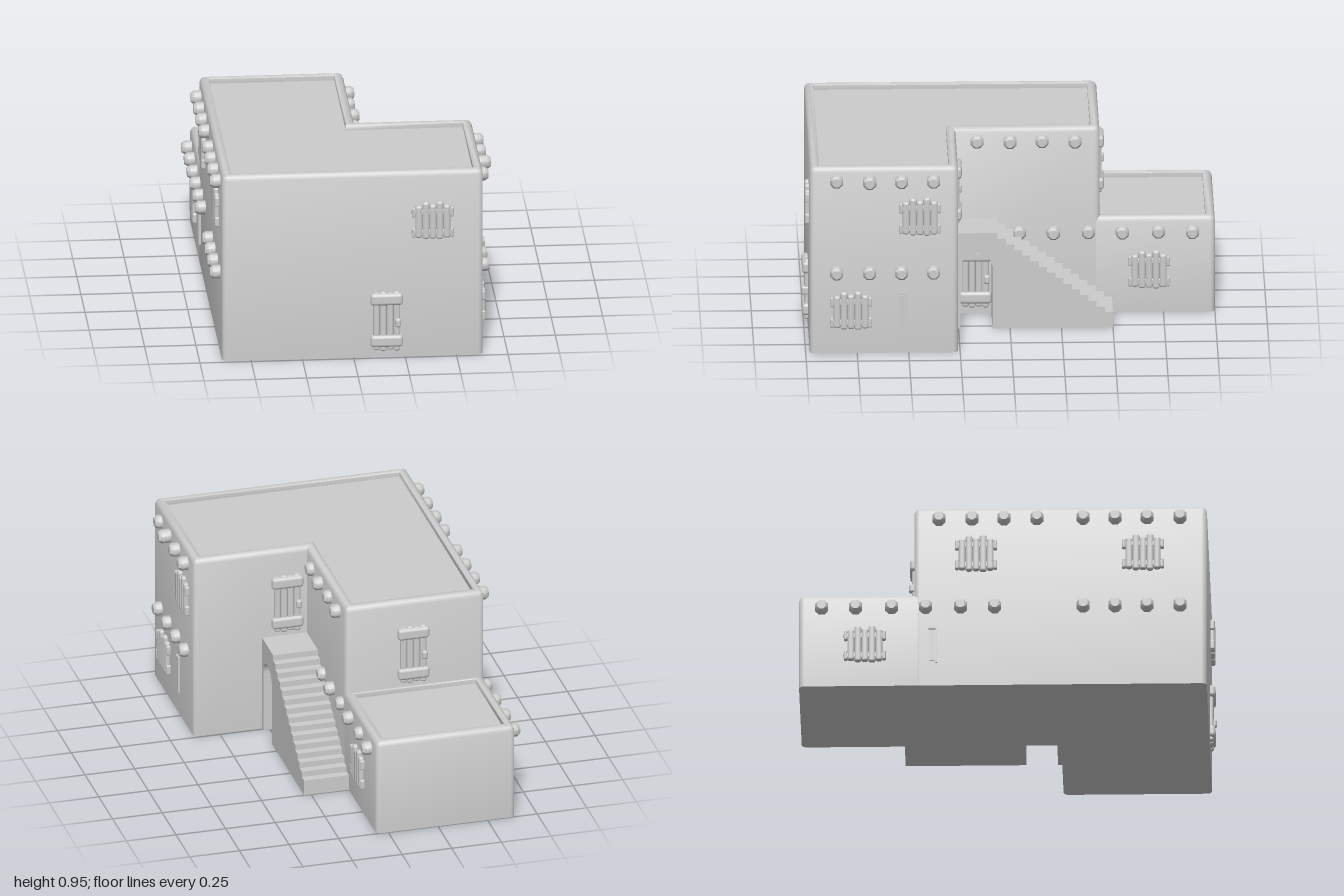
import * as THREE from 'three';
import { toCreasedNormals } from 'three/addons/utils/BufferGeometryUtils.js';
import { RoundedBoxGeometry } from 'three/addons/geometries/RoundedBoxGeometry.js';

const clay = new THREE.MeshStandardMaterial({ color: 0xcccccc });
clay.name = 'clay grey';

function add(parent, name, geometry, x = 0, y = 0, z = 0) {
  const mesh = new THREE.Mesh(geometry, clay);
  mesh.name = name;
  mesh.position.set(x, y, z);
  parent.add(mesh);
  return mesh;
}

// Right-angled outline inset by a distance, with rounded outer corners.
// Corners are [x, -z], counter-clockwise.
function outline(corners, inset, radius = 0.025) {
  const points = [];
  const n = corners.length;
  corners.forEach((corner, i) => {
    const p = new THREE.Vector2(...corner);
    const d1 = p.clone().sub(new THREE.Vector2(...corners[(i + n - 1) % n])).normalize();
    const d2 = new THREE.Vector2(...corners[(i + 1) % n]).sub(p).normalize();
    const n1 = new THREE.Vector2(-d1.y, d1.x), n2 = new THREE.Vector2(-d2.y, d2.x);
    const r = Math.max(radius - inset, 0.004);
    const convex = d1.cross(d2) > 0;
    const move = convex ? inset + r : inset;
    const c = p.clone().addScaledVector(n1, move).addScaledVector(n2, move);
    if (!convex) { points.push(c); return; }
    for (let k = 0; k <= 4; k++) {
      const a = (k / 4) * Math.PI / 2;
      points.push(c.clone().addScaledVector(n1, -r * Math.cos(a)).addScaledVector(n2, -r * Math.sin(a)));
    }
  });
  return points;
}

// Adobe block with a soft parapet around a sunken flat roof
function adobeBlock(corners, height) {
  const rings = [[0, 0], [0, height - 0.025], [0.008, height - 0.008], [0.022, height],
    [0.04, height], [0.045, height - 0.005], [0.045, height - 0.028]];
  const loops = rings.map(([inset, y]) =>
    outline(corners, inset).map(p => new THREE.Vector3(p.x, y, -p.y)));
  const positions = [];
  const tri = (...vs) => vs.forEach(v => positions.push(v.x, v.y, v.z));
  const n = loops[0].length;
  for (let k = 0; k < loops.length - 1; k++) {
    for (let i = 0; i < n; i++) {
      const j = (i + 1) % n, a = loops[k], b = loops[k + 1];
      tri(a[i], a[j], b[j]);
      tri(a[i], b[j], b[i]);
    }
  }
  // roof floor and underside
  const cap = (loop, up) => {
    const flat = loop.map(v => new THREE.Vector2(v.x, -v.z));
    for (const [a, b, c] of THREE.ShapeUtils.triangulateShape(flat, [])) {
      if (up) tri(loop[a], loop[b], loop[c]);
      else tri(loop[a], loop[c], loop[b]);
    }
  };
  cap(loops[loops.length - 1], true);
  cap(loops[0], false);
  const g = new THREE.BufferGeometry();
  g.setAttribute('position', new THREE.Float32BufferAttribute(positions, 3));
  return toCreasedNormals(g, 0.8);
}

// Side staircase with landing and an arched opening beneath it
function staircase() {
  const s = new THREE.Shape();
  const steps = 15, run = 0.6 / steps, rise = 0.44 / steps;
  s.moveTo(-0.27, 0);
  s.lineTo(-0.24, 0);
  s.lineTo(-0.24, 0.31);
  s.absarc(-0.1625, 0.31, 0.0775, Math.PI, 0, true);
  s.lineTo(-0.085, 0);
  s.lineTo(0.5, 0);
  s.lineTo(0.5, 0.05);
  for (let i = steps - 1; i >= 0; i--) {
    const y = 0.49 - i * rise;
    s.lineTo(-0.1 + (i + 1) * run, y);
    s.lineTo(-0.1 + i * run, y);
  }
  s.lineTo(-0.27, 0.49);
  const g = new THREE.ExtrudeGeometry(s, { depth: 0.235, bevelEnabled: false, curveSegments: 10 });
  return g.rotateY(Math.PI / 2);
}

const plank = (w, h, d) => new RoundedBoxGeometry(w, h, d, 2, Math.min(w, h, d) * 0.4);

// Fittings below face +z and are centred on the wall plane
function shutter() {
  const g = new THREE.Group();
  g.name = 'shutter';
  const heights = [0.165, 0.19, 0.175, 0.195, 0.17];
  heights.forEach((h, i) => add(g, 'shutterPlank', plank(0.034, h, 0.03), (i - 2) * 0.034, (i % 2) * 0.006, 0.006));
  for (const y of [0.05, -0.055]) add(g, 'shutterBar', plank(0.205, 0.036, 0.026), 0, y, 0.004);
  for (const x of [-0.093, 0.093]) {
    for (const y of [0.05, -0.055]) add(g, 'shutterHinge', plank(0.018, 0.05, 0.03), x, y, 0.005);
  }
  return g;
}

function door() {
  const g = new THREE.Group();
  g.name = 'door';
  for (let i = 0; i < 4; i++) {
    add(g, 'doorPlank', plank(0.032, 0.295 + (i % 2) * 0.01, 0.026), (i - 1.5) * 0.033, 0, 0.004);
  }
  for (const y of [0.115, -0.1]) add(g, 'doorBand', plank(0.158, 0.06, 0.04), 0, y, 0.008);
  add(g, 'doorHandle', plank(0.028, 0.045, 0.04), 0.055, -0.005, 0.012);
  return g;
}

function slit() {
  const g = new THREE.Group();
  g.name = 'slitWindow';
  add(g, 'slitPanel', new THREE.BoxGeometry(0.022, 0.165, 0.008), -0.004, -0.002, 0.002);
  add(g, 'slitSide', new THREE.BoxGeometry(0.007, 0.19, 0.016), 0.017, 0, 0.002);
  add(g, 'slitLintel', new THREE.BoxGeometry(0.04, 0.01, 0.016), 0, 0.09, 0.002);
  return g;
}

function beam(length) {
  const g = new THREE.Group();
  g.name = 'roofBeam';
  const r = 0.034;
  const profile = [[r, -0.02], [r, length - 0.016], [r * 0.66, length], [0, length]].map(p => new THREE.Vector2(...p));
  const geo = new THREE.LatheGeometry(profile, 8, Math.PI / 8);
  add(g, 'beamEnd', toCreasedNormals(geo.rotateX(Math.PI / 2), 0.9));
  return g;
}

export function createModel() {
  const model = new THREE.Group();
  model.name = 'adobeHouse';

  add(model, 'mainBlock', adobeBlock([[-0.64, -0.98], [0.63, -0.98], [0.63, -0.26],
    [0.06, -0.26], [0.06, 0.44], [-0.64, 0.44]], 0.953));
  add(model, 'lowBlock', adobeBlock([[-0.64, 0.4], [0.06, 0.4], [0.06, 1], [-0.64, 1]], 0.49));
  add(model, 'staircase', staircase(), 0.05, 0, 0);

  const turns = { front: 0, right: Math.PI / 2, left: -Math.PI / 2, back: Math.PI };
  const place = (part, side, x, y, z) => {
    part.position.set(x, y, z);
    part.rotation.y = turns[side];
    model.add(part);
  };

  // Beam ends along both long sides
  const frontZ = [0.85, 0.69, 0.535, 0.38];
  const upperZ = [0.155, -0.005, -0.16, -0.32];
  const lowerZ = [-0.05, -0.215, -0.385, -0.55, -0.725, -0.89];
  const upperLength = [0.035, 0.06, 0.048, 0.048];
  frontZ.forEach((z, i) => {
    place(beam(upperLength[i]), 'right', 0.63, 0.885, z);
    place(beam(0.042), 'right', 0.63, 0.415, z);
    place(beam(0.05), 'left', -0.64, 0.885, z);
    place(beam(0.05), 'left', -0.64, 0.415, z);
  });
  for (const [row, y] of [[upperZ, 0.885], [lowerZ, 0.415]]) {
    row.forEach((z, i) => {
      place(beam(0.035 + (i % 2) * 0.01), 'right', 0.06, y, z);
      place(beam(0.05), 'left', -0.64, y, z);
    });
  }

  // Shutters
  place(shutter(), 'front', 0.385, 0.695, 0.98);
  place(shutter(), 'right', 0.63, 0.695, 0.445);
  place(shutter(), 'right', 0.63, 0.215, 0.78);
  place(shutter(), 'right', 0.06, 0.215, -0.68);
  place(shutter(), 'left', -0.64, 0.215, -0.68);
  place(shutter(), 'left', -0.64, 0.695, -0.14);
  place(shutter(), 'left', -0.64, 0.695, 0.67);

  // Narrow windows
  place(slit(), 'right', 0.63, 0.215, 0.53);
  place(slit(), 'left', -0.64, 0.215, -0.35);

  // Doors: street, landing, roof terrace and under the stairs
  place(door(), 'front', 0.16, 0.185, 0.98);
  place(door(), 'back', 0.16, 0.665, 0.26);
  place(door(), 'back', -0.28, 0.665, -0.44);
  place(door(), 'right', 0.06, 0.185, 0.163);

  return model;
}
